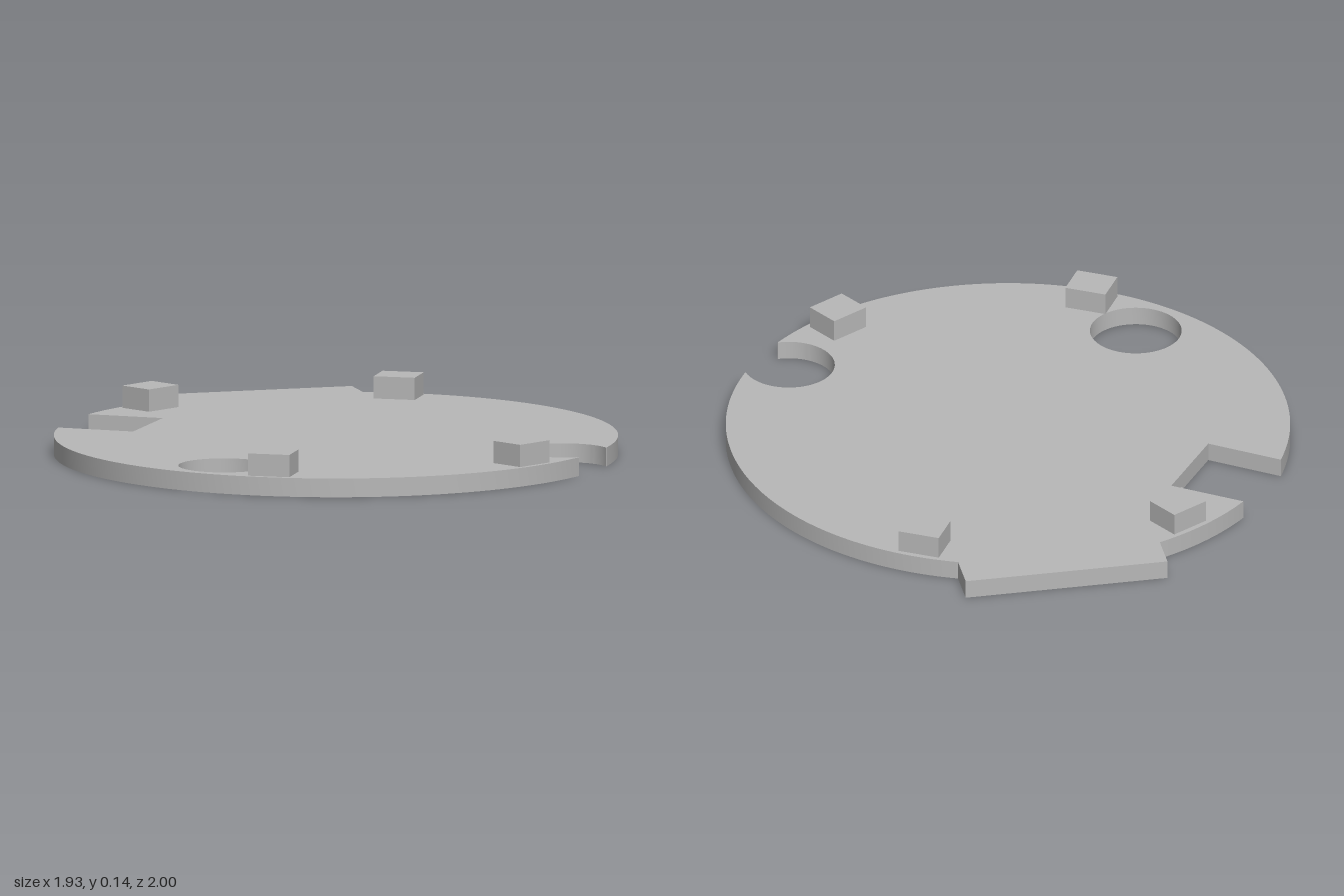
import * as THREE from 'three';
import { toCreasedNormals } from 'three/addons/utils/BufferGeometryUtils.js';

const R = 0.966;          // disc radius
const CZ = 0.034;         // disc centre along z
const THICK = 0.065;      // plate thickness
const HOLE_R = 0.157;

// Plate outline in shape space (x, -z), counter-clockwise
function plateShape() {
  const cv = -CZ;
  const angleOf = (x, v) => Math.atan2(v - cv, x);
  const tabX = 0.352;
  const tabAngle = Math.acos(tabX / R);
  const shape = new THREE.Shape();

  // rectangular tab at the back
  shape.moveTo(tabX, 1);
  shape.lineTo(-tabX, 1);

  // rim up to the square notch, then the notch
  shape.absarc(0, cv, R, Math.PI - tabAngle, angleOf(-0.693, 0.651), false);
  shape.lineTo(-0.466, 0.492);
  shape.lineTo(-0.646, 0.233);

  // front rim up to the round bite, the bite, then the remaining rim
  const bite = { x: 0.657, v: -0.577 };
  const p = { x: 0.665, v: -0.734 }, q = { x: 0.813, v: -0.555 };
  shape.absarc(0, cv, R, angleOf(-0.873, 0.392), angleOf(p.x, p.v), false);
  shape.absarc(bite.x, bite.v, HOLE_R,
    Math.atan2(p.v - bite.v, p.x - bite.x), Math.atan2(q.v - bite.v, q.x - bite.x), true);
  shape.absarc(0, cv, R, angleOf(q.x, q.v), tabAngle, false);
  shape.closePath();

  // full round hole
  const hole = new THREE.Path();
  hole.absarc(-0.553, -0.577, HOLE_R, 0, Math.PI * 2, true);
  shape.holes.push(hole);
  return shape;
}

export function createModel() {
  const model = new THREE.Group();
  model.name = 'notchedBasePlate';
  const grey = new THREE.MeshStandardMaterial({ color: 0xb8b8b8 });
  grey.name = 'grey';

  // flat plate
  const geo = new THREE.ExtrudeGeometry(plateShape(), {
    depth: THICK, bevelEnabled: false, curveSegments: 36,
  });
  geo.rotateX(-Math.PI / 2);
  const plate = new THREE.Mesh(toCreasedNormals(geo, 0.4), grey);
  plate.name = 'plate';
  model.add(plate);

  // four locating blocks facing outward near the rim
  const height = 0.077;
  const blockGeo = new THREE.BoxGeometry(0.145, height, 0.127);
  for (const deg of [30, 150, 210, 330]) {
    const a = THREE.MathUtils.degToRad(deg);
    const block = new THREE.Mesh(blockGeo, grey);
    block.name = 'locatingBlock';
    block.position.set(Math.sin(a) * 0.884, THICK + height / 2, CZ + Math.cos(a) * 0.884);
    block.rotation.y = a;
    model.add(block);
  }
  return model;
}
